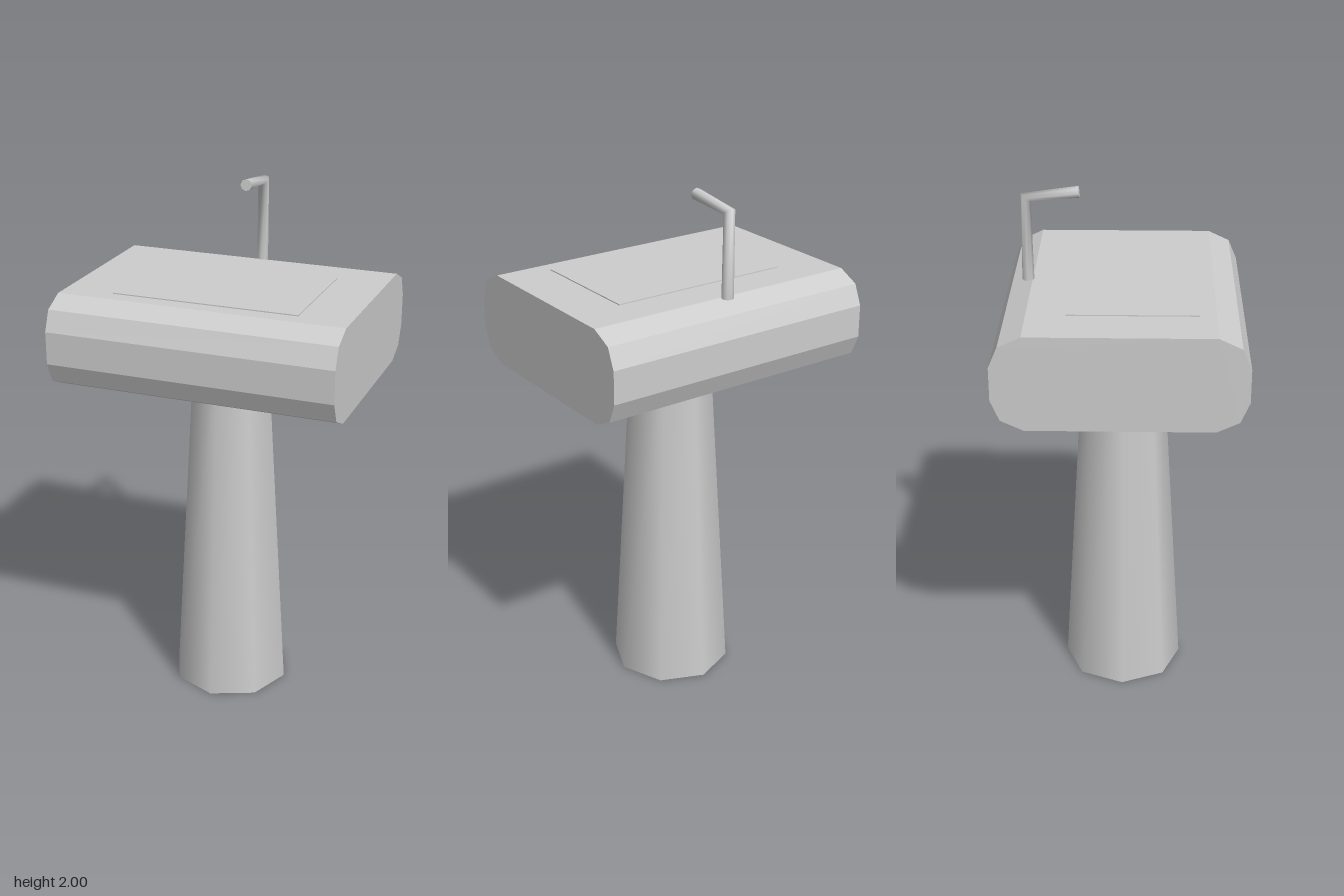
import * as THREE from 'three';

const ceramic = new THREE.MeshStandardMaterial({ color: 0xcccccc });
ceramic.name = 'grey ceramic';
const ceramicFlat = ceramic.clone();
ceramicFlat.flatShading = true;
const ceramicOpen = ceramic.clone();
ceramicOpen.side = THREE.DoubleSide;

function addPart(group, name, geometry, material) {
  const mesh = new THREE.Mesh(geometry, material);
  mesh.name = name;
  group.add(mesh);
  return mesh;
}

// Basin: faceted rounded block, profile in (z, y) extruded along x
function basinGeometry() {
  const quarter = [[0.33, 0.174], [0.411, 0.136], [0.443, 0.061]];
  const back = quarter.map(([z, y]) => [-z, y]).reverse();
  const top = [...quarter.slice().reverse(), ...back.slice().reverse()];
  const bottom = top.slice().reverse().map(([z, y]) => [z, -y]);
  const shape = new THREE.Shape([...top, ...bottom].map(([z, y]) => new THREE.Vector2(z, y)));
  const geometry = new THREE.ExtrudeGeometry(shape, { depth: 1.08, bevelEnabled: false });
  return geometry.translate(0, 0, -0.54).rotateY(-Math.PI / 2).translate(0, 1.475, 0);
}

// Tap: an eight-sided pipe with a mitred elbow; each ring is [y, z, tilt]
function tapGeometry(radius, sides) {
  const rings = [[1.648, -0.346, 0], [1.958, -0.347, 0.66], [1.978, -0.156, 1.47]];
  const positions = [];
  const index = [];
  for (const [y, z, tilt] of rings) {
    for (let i = 0; i < sides; i++) {
      const a = (i / sides) * Math.PI * 2;
      const across = radius * Math.cos(a);
      positions.push(radius * Math.sin(a), y - across * Math.sin(tilt), z + across * Math.cos(tilt));
    }
  }
  for (let r = 0; r < rings.length - 1; r++) {
    for (let i = 0; i < sides; i++) {
      const j = (i + 1) % sides;
      const a = r * sides + i, b = r * sides + j;
      index.push(a, b + sides, a + sides, a, b, b + sides);
    }
  }
  const geometry = new THREE.BufferGeometry();
  geometry.setAttribute('position', new THREE.Float32BufferAttribute(positions, 3));
  geometry.setIndex(index);
  geometry.computeVertexNormals();
  return geometry;
}

export function createModel() {
  const model = new THREE.Group();
  model.name = 'pedestalSink';

  // Tapered hollow pedestal
  const pedestal = addPart(model, 'pedestal',
    new THREE.CylinderGeometry(0.155, 0.232, 1.302, 8, 1, true), ceramicOpen);
  pedestal.position.y = 0.651;

  addPart(model, 'basin', basinGeometry(), ceramicFlat);

  // Slightly raised bowl panel
  const panel = addPart(model, 'bowlPanel', new THREE.BoxGeometry(0.7, 0.006, 0.46), ceramicFlat);
  panel.position.set(0, 1.65, 0.04);

  addPart(model, 'tap', tapGeometry(0.022, 8), ceramicOpen);

  // Flat end of the spout
  const spoutEnd = addPart(model, 'spoutEnd', new THREE.CircleGeometry(0.022, 8), ceramicOpen);
  spoutEnd.position.set(0, 1.978, -0.156);
  spoutEnd.rotation.x = -0.1;

  return model;
}
